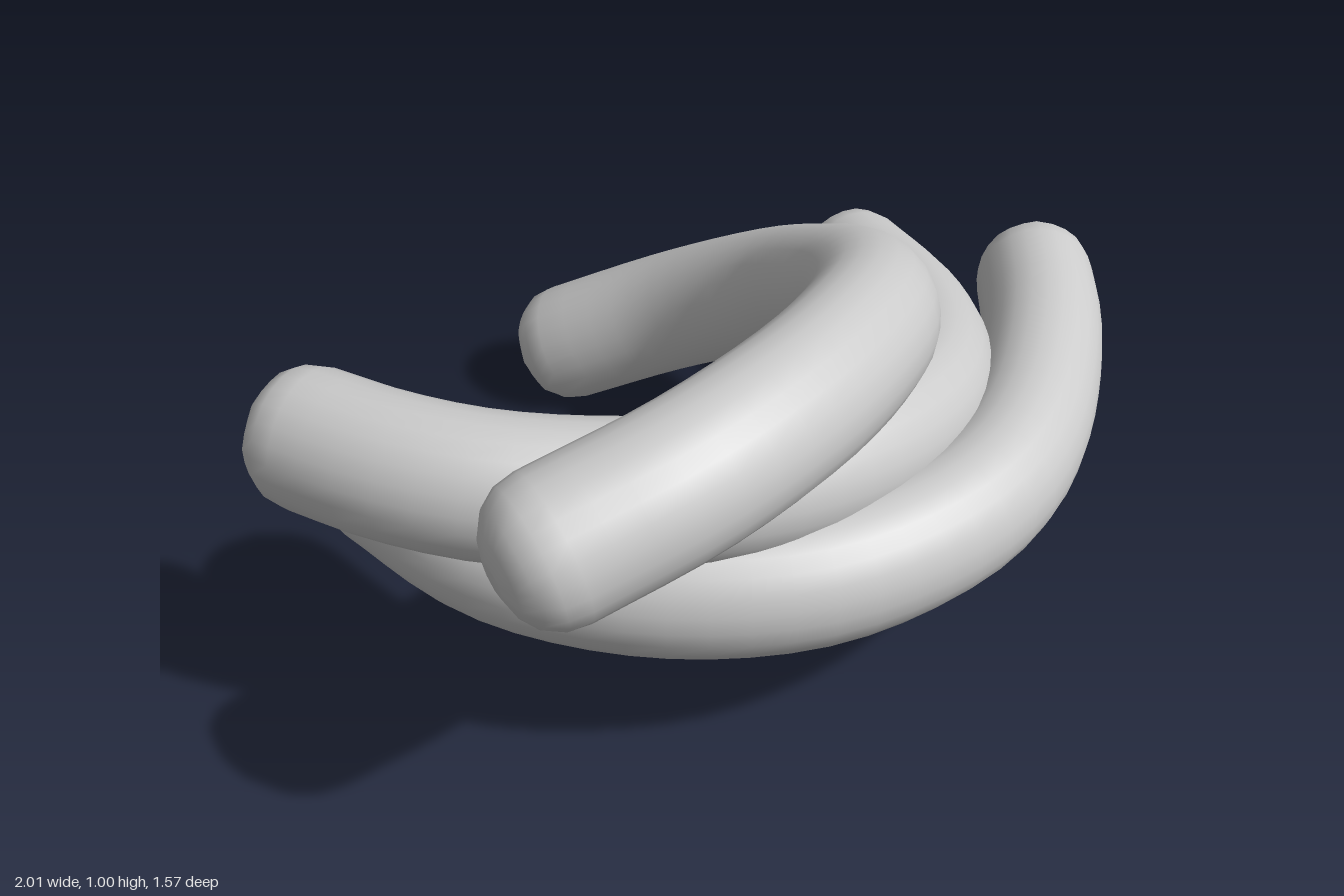
import * as THREE from 'three';

const SIDES = 24, STEPS = 32;
const HALF_WIDTH = 0.14, HALF_HEIGHT = 0.148;
// cap profile: [distance past the body end, scale of the section]
const CAP = [[0.045, 0.95], [0.08, 0.8], [0.105, 0.55], [0.118, 0.25], [0.115, 0]];

// Each sausage is bent within a tilted plane y = y0 + ax * x + az * z
const SAUSAGES = [
  { name: 'lowerSausage', plane: [0.41, 0, 0], path: [[0.87, 0.355], [0.72, 0.45], [0.54, 0.535], [0.32, 0.61],
    [0.13, 0.636], [-0.06, 0.61], [-0.3, 0.5], [-0.47, 0.33], [-0.58, 0.13], [-0.635, -0.1], [-0.6, -0.42]] },
  { name: 'middleSausage', plane: [0.506, -0.229, 0.05], path: [[0.79, -0.1], [0.615, 0.15], [0.43, 0.315], [0.26, 0.4],
    [0.08, 0.434], [-0.15, 0.42], [-0.37, 0.34], [-0.57, 0.175], [-0.71, -0.01], [-0.78, -0.2], [-0.805, -0.38]] },
  { name: 'upperSausage', plane: [0.553, -0.077, 0.598], path: [[-0.88, 0.29], [-0.64, 0.4], [-0.36, 0.44], [-0.12, 0.415],
    [0.07, 0.355], [0.24, 0.23], [0.34, 0.08], [0.4, -0.06], [0.42, -0.22], [0.4, -0.42], [0.31, -0.66]] },
];

function sausageGeometry(path, [y0, ax, az]) {
  const curve = new THREE.CatmullRomCurve3(path.map(([x, z]) => new THREE.Vector3(x, y0 + ax * x + az * z, z)));
  const up = new THREE.Vector3(-ax, 1, -az).normalize();
  const positions = [], indices = [];

  const addRing = (t, offset, scale, pucker) => {
    const tangent = curve.getTangentAt(t);
    const centre = curve.getPointAt(t).addScaledVector(tangent, offset);
    const side = new THREE.Vector3().crossVectors(up, tangent).normalize();
    for (let j = 0; j < SIDES; j++) {
      const a = (j / SIDES) * Math.PI * 2;
      const r = scale * (1 + pucker * Math.cos(a * 8));
      const p = centre.clone()
        .addScaledVector(side, Math.cos(a) * HALF_WIDTH * r)
        .addScaledVector(up, Math.sin(a) * HALF_HEIGHT * r);
      positions.push(p.x, p.y, p.z);
    }
  };

  // puckered start cap, body, puckered end cap
  for (const [d, s] of [...CAP].reverse()) addRing(0, -d, s, 0.05 * (1 - s * s));
  for (let i = 0; i <= STEPS; i++) addRing(i / STEPS, 0, 1, 0);
  for (const [d, s] of CAP) addRing(1, d, s, 0.05 * (1 - s * s));

  const rings = positions.length / 3 / SIDES;
  for (let i = 0; i < rings - 1; i++) {
    for (let j = 0; j < SIDES; j++) {
      const k = (j + 1) % SIDES;
      const a = i * SIDES + j, b = i * SIDES + k, c = a + SIDES, d = b + SIDES;
      if (i > 0) indices.push(a, b, c);
      if (i < rings - 2) indices.push(b, d, c);
      else if (i === rings - 2) continue;
    }
  }
  const geometry = new THREE.BufferGeometry();
  geometry.setAttribute('position', new THREE.Float32BufferAttribute(positions, 3));
  geometry.setIndex(indices);
  geometry.computeVertexNormals();
  return geometry;
}

export function createModel() {
  const group = new THREE.Group();
  group.name = 'sausages';
  const material = new THREE.MeshStandardMaterial({ color: 0xcccccc });
  for (const { name, path, plane } of SAUSAGES) {
    const mesh = new THREE.Mesh(sausageGeometry(path, plane), material);
    mesh.name = name;
    group.add(mesh);
  }
  return group;
}
